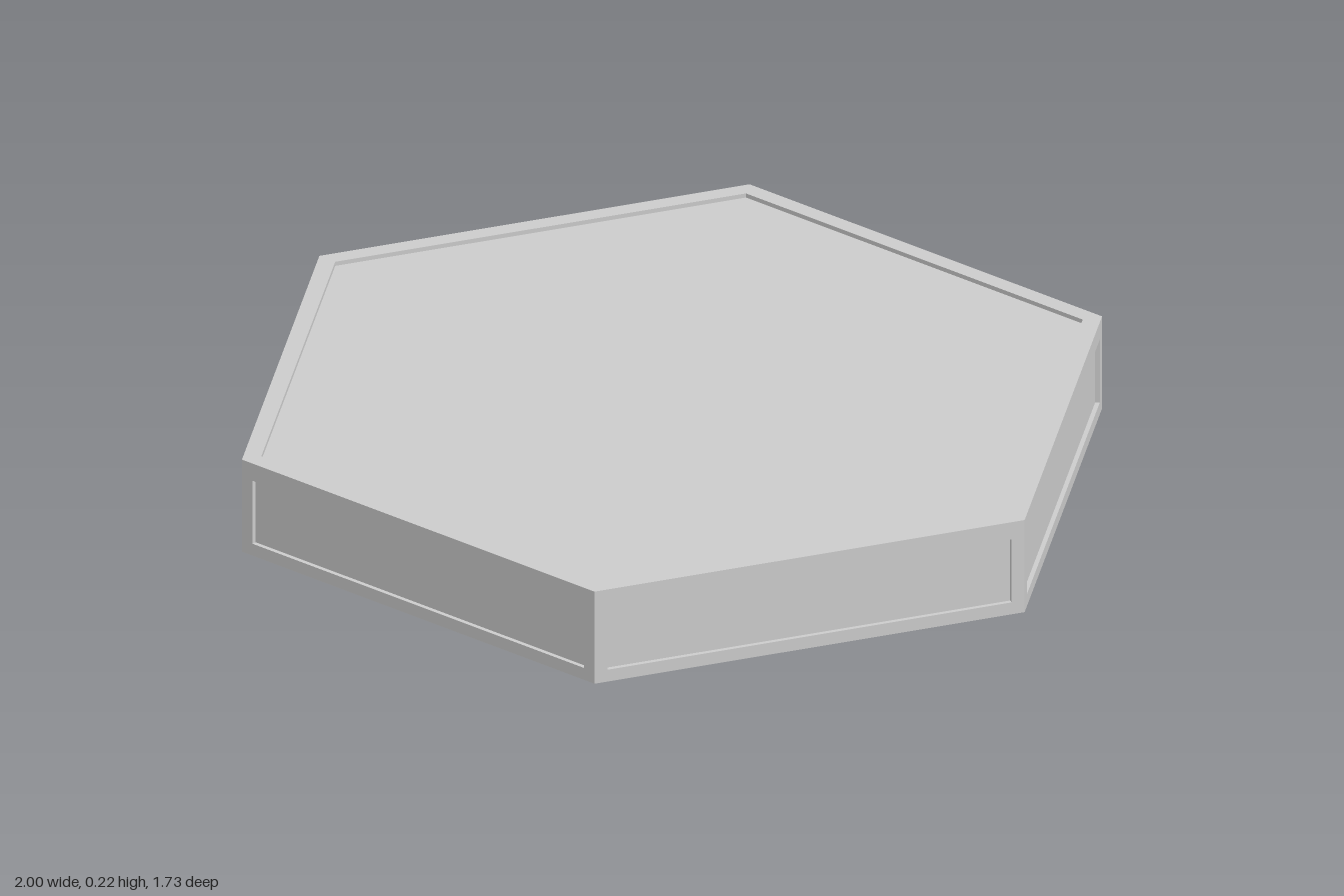
import * as THREE from 'three';

const HEIGHT = 0.225;
const WALL = 0.015;    // wall thickness
const RECESS = 0.01;   // depth of the sunken panels
const APOTHEM = Math.sqrt(3) / 2;

const material = new THREE.MeshStandardMaterial({ color: 0xcccccc, flatShading: true });

const rect = (x, y0, y1) => [[-x, y0], [x, y0], [x, y1], [-x, y1]].map(p => new THREE.Vector2(...p));

const hexagon = r => Array.from({ length: 6 }, (_, i) =>
  new THREE.Vector2(r * Math.cos(i * Math.PI / 3), r * Math.sin(i * Math.PI / 3)));

// Frame around an opening, with a thin plate closing it from behind; outer face at z = 0
function recessedPanel(name, outline, opening, thickness) {
  const frame = new THREE.Shape(outline);
  frame.holes.push(new THREE.Path(opening));
  const layers = [
    ['Frame', frame, -RECESS, RECESS],
    ['Plate', new THREE.Shape(outline), -thickness, thickness - RECESS],
  ];
  const group = new THREE.Group();
  group.name = name;
  for (const [suffix, shape, z, depth] of layers) {
    const geometry = new THREE.ExtrudeGeometry(shape, { depth, bevelEnabled: false });
    geometry.translate(0, 0, z);
    const mesh = new THREE.Mesh(geometry, material);
    mesh.name = name + suffix;
    group.add(mesh);
  }
  return group;
}

// Mitre the two ends of a wall so that six of them meet cleanly
function mitre(wall) {
  wall.traverse(part => {
    if (!part.isMesh) return;
    const p = part.geometry.attributes.position;
    for (let i = 0; i < p.count; i++) {
      const x = p.getX(i);
      if (Math.abs(x) > 0.499) p.setX(i, x + Math.sign(x) * p.getZ(i) / Math.sqrt(3));
    }
    part.geometry.computeVertexNormals();
  });
}

export function createModel() {
  const model = new THREE.Group();
  model.name = 'hexagonalPlatform';

  // Six walls with sunken panels, open underneath
  for (let i = 0; i < 6; i++) {
    const wall = recessedPanel('wall', rect(0.5, 0, HEIGHT), rect(0.47, 0.029, 0.183), WALL);
    mitre(wall);
    wall.position.z = APOTHEM;
    const side = new THREE.Group();
    side.name = 'side' + (i + 1);
    side.rotation.y = i * Math.PI / 3;
    side.add(wall);
    model.add(side);
  }

  // Top with a sunken hexagon, fitted inside the walls
  const top = recessedPanel('top', hexagon(1 - WALL / APOTHEM), hexagon(0.955), WALL);
  top.rotation.x = -Math.PI / 2;
  top.position.y = HEIGHT;
  model.add(top);

  return model;
}
